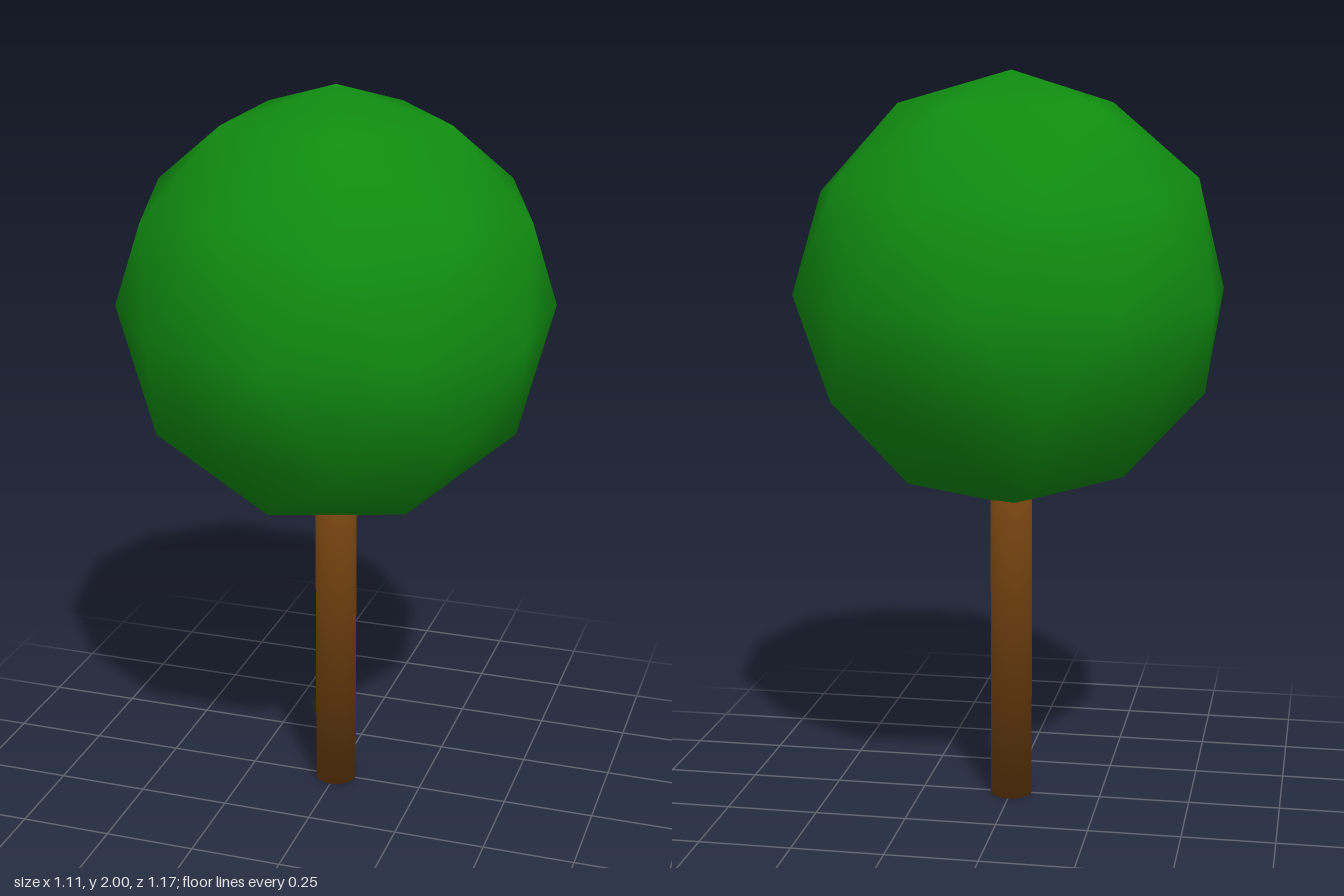
import * as THREE from 'three';

const CROWN_RADIUS = 0.585;
const TRUNK_RADIUS = 0.057;
const TRUNK_HEIGHT = 1.0;

// Faceted ball with smooth normals, turned so one vertex points straight up
function createCrown() {
  const golden = (1 + Math.sqrt(5)) / 2;
  const geometry = new THREE.IcosahedronGeometry(CROWN_RADIUS, 1);
  geometry.rotateZ(-Math.atan(1 / golden));
  const crown = new THREE.Mesh(geometry, new THREE.MeshStandardMaterial({ color: 0x108c10 }));
  crown.name = 'crown';
  crown.position.y = 2 - CROWN_RADIUS;
  return crown;
}

// Straight trunk reaching into the crown, shaded smoothly over its end rims
function createTrunk() {
  const geometry = new THREE.CylinderGeometry(TRUNK_RADIUS, TRUNK_RADIUS, TRUNK_HEIGHT, 32);
  const { position, normal } = geometry.attributes;
  const n = new THREE.Vector3();
  for (let i = 0; i < position.count; i++) {
    n.fromBufferAttribute(position, i);
    n.y = Math.sign(n.y) * TRUNK_RADIUS;
    n.normalize();
    normal.setXYZ(i, n.x, n.y, n.z);
  }
  const trunk = new THREE.Mesh(geometry, new THREE.MeshStandardMaterial({ color: 0x774410 }));
  trunk.name = 'trunk';
  trunk.position.y = TRUNK_HEIGHT / 2;
  return trunk;
}

export function createModel() {
  const tree = new THREE.Group();
  tree.name = 'tree';
  tree.add(createTrunk(), createCrown());
  return tree;
}
